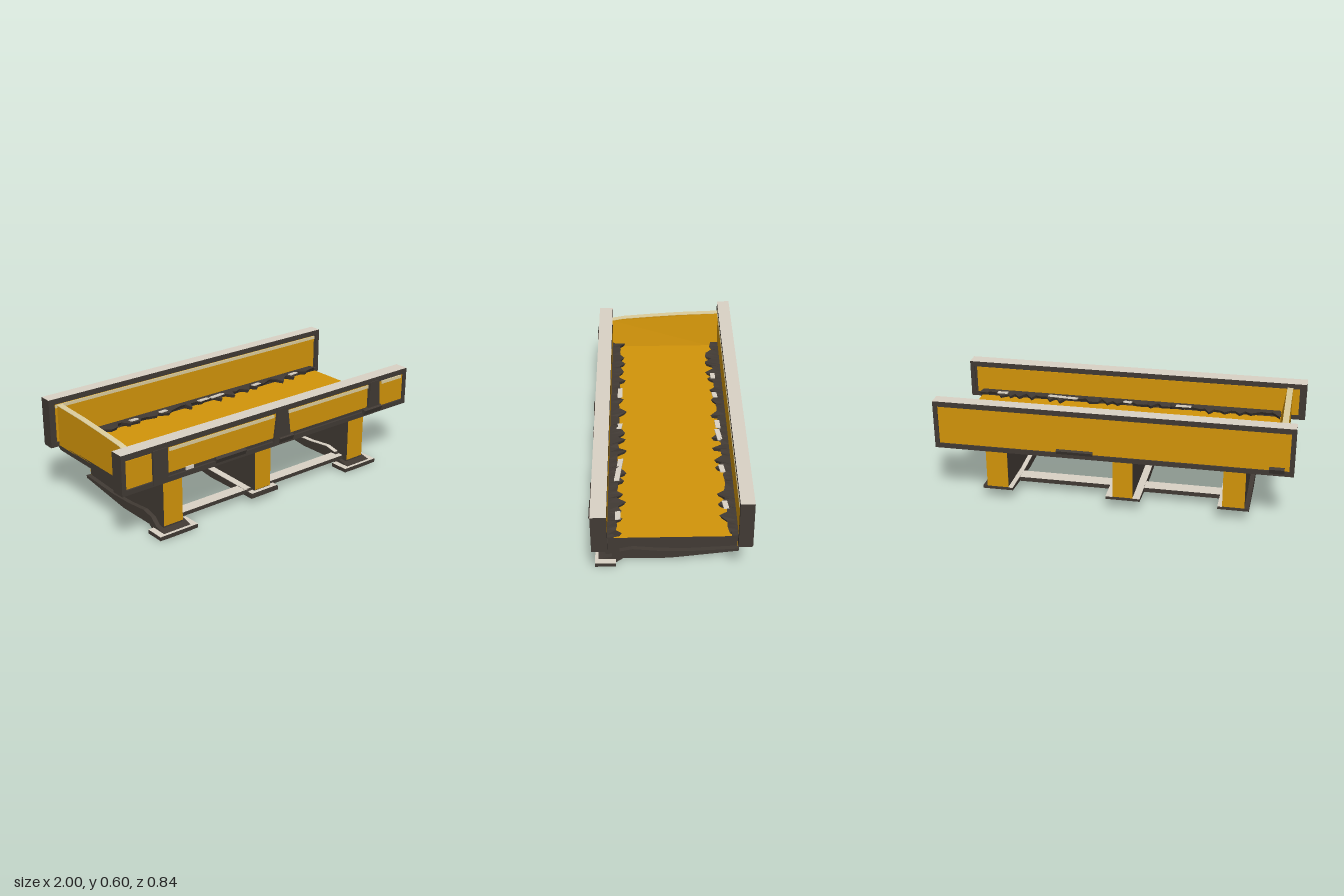
import * as THREE from 'three';

const mat = (name, color) => {
  const m = new THREE.MeshStandardMaterial({ color });
  m.name = name;
  return m;
};

export function createModel() {
  const yellow = mat('yellow paint', 0xd2940a);
  const dark = mat('dark steel', 0x413a34);
  const pale = mat('pale worn metal', 0xdad2c5);
  const cream = mat('faded cream paint', 0xdccd9c);
  const liner = mat('torn dark liner', 0x413a34);
  liner.side = THREE.DoubleSide;
  const group = new THREE.Group();

  const add = (name, geo, material) => {
    const m = new THREE.Mesh(geo, material);
    m.name = name;
    group.add(m);
    return m;
  };
  // Box given by its limits on each axis
  const box = (name, x0, x1, y0, y1, z0, z1, material) => {
    const m = add(name, new THREE.BoxGeometry(x1 - x0, y1 - y0, z1 - z0), material);
    m.position.set((x0 + x1) / 2, (y0 + y1) / 2, (z0 + z1) / 2);
    return m;
  };
  const shape = pts => new THREE.Shape(pts.map(p => new THREE.Vector2(...p)));
  // (z, y) profile swept along x from x0 to x1
  const sweepX = (name, pts, x0, x1, material) => {
    const g = new THREE.ExtrudeGeometry(shape(pts), { depth: x1 - x0, bevelEnabled: false });
    g.rotateY(-Math.PI / 2).translate(x1, 0, 0);
    return add(name, g, material);
  };
  // Thin plate lying on a (z, y) curve
  const plateX = (name, curve, x0, x1, material) =>
    sweepX(name, [...curve.map(([z, y]) => [z, y + 0.003]), ...curve.slice().reverse()], x0, x1, material);
  let seed = 7;
  const rand = () => (seed = (seed * 16807) % 2147483647) / 2147483647;
  const paleTop = [dark, dark, pale, dark, dark, dark];
  const yellowTop = [dark, dark, yellow, dark, dark, dark];
  const yellowFront = [dark, dark, dark, dark, yellow, dark];

  // Trough bed: dark slab with chamfered lower edges and a yellow floor
  sweepX('bed', [[0.33, 0.343], [0.35, 0.335], [0.31, 0.305], [-0.33, 0.305], [-0.37, 0.33], [-0.35, 0.343]], -0.92, 0.92, dark);
  box('floor', -0.87, 0.924, 0.34, 0.347, -0.335, 0.305, yellowTop);

  // Sloping end wall, its inner face leaning outward, with a faded top edge
  const crest = [[0.31, 0.518], [0.24, 0.53], [0.08, 0.542], [-0.1, 0.553], [-0.34, 0.56]];
  const endWall = sweepX('endWall', [...crest, [-0.34, 0.33], [0.31, 0.33]], -0.92, -0.86, yellow);
  const ep = endWall.geometry.attributes.position;
  for (let i = 0; i < ep.count; i++)
    if (ep.getX(i) > -0.89 && ep.getY(i) > 0.4) ep.setX(i, -0.888);
  endWall.geometry.computeVertexNormals();
  plateX('endWallTop', crest, -0.921, -0.888, cream);

  // Side walls: dark body, pale-topped cap, base lip, end posts and inner panel
  const walls = [
    { n: 'front', s: 1, x0: -1, x1: 1, top: 0.545, inner: 0.31, outer: 0.39 },
    { n: 'back', s: -1, x0: -0.97, x1: 0.98, top: 0.6, inner: 0.34, outer: 0.412 },
  ];
  const zBox = (name, x0, x1, y0, y1, s, a, b, m) =>
    box(name, x0, x1, y0, y1, Math.min(s * a, s * b), Math.max(s * a, s * b), m);
  for (const { n, s, x0, x1, top, inner, outer } of walls) {
    zBox(n + 'Wall', x0 + 0.005, x1 - 0.005, 0.325, top - 0.02, s, inner + 0.008, outer - 0.012, dark);
    zBox(n + 'WallCap', x0, x1, top - 0.03, top, s, inner, outer, paleTop);
    zBox(n + 'WallLip', x0 + 0.01, x1 - 0.01, 0.325, 0.352, s, inner, outer, dark);
    zBox(n + 'InnerPanel', x0 + 0.04, x1 - 0.04, 0.345, top - 0.035, s, inner + 0.003, inner + 0.01, yellow);
    zBox(n + 'InnerLedge', -0.862, 0.935, 0.335, 0.362, s, inner - 0.03, inner + 0.005, dark);
    for (const x of [x0, x1 - 0.025])
      zBox(n + 'EndPost', x, x + 0.025, 0.325, top - 0.02, s, inner, outer, dark);
  }

  // Faded band high on the inside of the back wall
  box('backInnerBand', -0.93, 0.94, 0.547, 0.565, -0.344, -0.338, cream);

  // Outer yellow panels
  box('backPanel', -0.945, 0.955, 0.352, 0.57, -0.405, -0.398, yellow);
  box('frontPanel', -0.73, 0.69, 0.372, 0.514, 0.376, 0.383, yellow);
  box('frontRightEndPanel', -0.985, -0.815, 0.355, 0.505, 0.376, 0.383, yellow);
  box('frontLeftEndPanel', 0.78, 0.98, 0.355, 0.505, 0.376, 0.383, yellow);
  for (const [a, b] of [[-0.71, -0.02], [0.08, 0.69], [0.8, 0.96]])
    box('frontPanelTrim', a, b, 0.49, 0.508, 0.379, 0.387, cream);

  // Tapered brackets on the front wall: centre, top width, bottom width, top height
  for (const [x, wt, wb, y] of [[-0.77, 0.09, 0.09, 0.52], [0.035, 0.07, 0.125, 0.535], [0.735, 0.065, 0.1, 0.525]]) {
    const g = new THREE.ExtrudeGeometry(
      shape([[x - wb / 2, 0.332], [x + wb / 2, 0.332], [x + wt / 2, y], [x - wt / 2, y]]),
      { depth: 0.02, bevelEnabled: false });
    add('frontBracket', g.translate(0, 0, 0.376), dark);
  }

  // Torn, curled liner strips along both inner floor edges
  const addLiner = (name, s, wall, flakes) => {
    const N = 58, pos = [], idx = [];
    for (let i = 0; i <= N; i++) {
      const x = -0.85 + 1.77 * i / N + (rand() - 0.5) * 0.02;
      const tip = rand() > 0.7 ? 0.07 + rand() * 0.025 : 0.042 + rand() * 0.012;
      const h = 0.362 + rand() * 0.02;
      [[0, 0.345], [0, 0.372], [tip, h], [tip - 0.012, h - 0.02]]
        .forEach(([d, y]) => pos.push(x, y, s * (wall - d)));
      if (i < N) for (let k = 0; k < 4; k++) {
        const a = i * 4 + k, b = i * 4 + (k + 1) % 4;
        if (s > 0) idx.push(a, b, a + 4, b, b + 4, a + 4);
        else idx.push(a, a + 4, b, b, a + 4, b + 4);
      }
    }
    const g = new THREE.BufferGeometry();
    g.setAttribute('position', new THREE.Float32BufferAttribute(pos, 3));
    g.setIndex(idx);
    const flat = g.toNonIndexed();
    flat.computeVertexNormals();
    add(name, flat, liner);
    // Worn pale flakes: position along the strip and length
    for (const [x, w] of flakes) {
      const f = add('linerFlake', new THREE.BoxGeometry(w, 0.006, 0.028), pale);
      f.position.set(x, 0.378, s * (wall - 0.052));
      f.rotation.set(s * 0.15, rand() * 0.4 - 0.2, 0);
    }
  };
  addLiner('frontLiner', 1, 0.312, [[-0.3, 0.09], [0.03, 0.05], [0.42, 0.18], [0.79, 0.06]]);
  addLiner('backLiner', -1, 0.342, [[-0.47, 0.05], [-0.27, 0.05], [0.02, 0.07], [0.12, 0.1], [0.42, 0.06], [0.72, 0.06]]);

  // Ragged crumbs along the outer lower lips
  for (const [x, w, z] of [[-0.32, 0.2, 0.386], [0.06, 0.1, 0.392], [0.72, 0.14, 0.395], [-0.88, 0.08, -0.41], [0.2, 0.2, -0.405]]) {
    const c = box('lipCrumb', x - w / 2, x + w / 2, 0.34, 0.37, z - 0.01, z + 0.01, dark);
    c.rotation.x = z > 0 ? 0.4 : -0.4;
  }
  box('lipChip', -0.61, -0.56, 0.357, 0.375, 0.382, 0.39, pale);

  // Support legs: dark sides, yellow front and back, on skids that rise to the rear
  const outerTop = [[0.26, 0.08], [0.19, 0.095], [0.05, 0.08], [-0.1, 0.075], [-0.37, 0.088]];
  const midTop = [[0.3, 0.07], [0, 0.075], [-0.37, 0.088]];
  const outerBase = [[0.39, 0.024], [0.39, 0.005], [0.28, 0.003], [0.24, 0.033], [0, 0.03], [-0.09, 0.04], [-0.37, 0.073]];
  const midBase = [[0.36, 0.058], [0.36, 0.038], [0, 0.033], [-0.09, 0.042], [-0.37, 0.073]];
  const outerToe = [[0.3, 0.045], [0.35, 0.033]];
  const legs = [
    { x: -0.66, w: 0.12, y0: 0.04, sw: 0.17, top: outerTop, base: outerBase, toe: outerToe, inner: [1] },
    { x: -0.055, w: 0.11, y0: 0.06, sw: 0.19, top: midTop, base: midBase, toe: [], inner: [-1, 1] },
    { x: 0.65, w: 0.12, y0: 0.04, sw: 0.17, top: outerTop, base: outerBase, toe: outerToe, inner: [-1] },
  ];
  for (const { x, w, y0, sw, top, base, toe, inner } of legs) {
    sweepX('leg', [[0.335, y0], [0.335, 0.32], [-0.362, 0.32], [-0.362, 0.083]], x - w / 2, x + w / 2, dark);
    box('legFrontPlate', x - w / 2, x + w / 2, y0 + 0.01, 0.315, 0.332, 0.338, yellowFront);
    box('legBackPlate', x - w / 2, x + w / 2, 0.088, 0.315, -0.366, -0.359, yellow);
    sweepX('skid', [...base, ...top.slice().reverse(), ...toe], x - sw / 2, x + sw / 2, dark);
    // Pale upper faces of the flanges facing the gaps
    for (const s of inner) {
      const a = x + s * w / 2, b = x + s * sw / 2;
      plateX('skidFlangeTop', top, Math.min(a, b), Math.max(a, b), pale);
    }
    if (toe.length)
      box('footPad', x - 0.12, x + 0.12, 0.006, 0.028, 0.28, 0.39, paleTop);
    else
      box('midFootTop', x - 0.09, x + 0.09, 0.052, 0.066, 0.29, 0.358, paleTop);
  }

  // Longitudinal tie rails between the skids
  for (const [a, b] of [[-0.6, -0.13], [0.02, 0.6]]) {
    box('frontTieRail', a, b, 0.048, 0.07, 0.235, 0.305, paleTop);
    box('backTieRail', a, b, 0.055, 0.08, -0.22, -0.14, paleTop);
  }
  return group;
}
